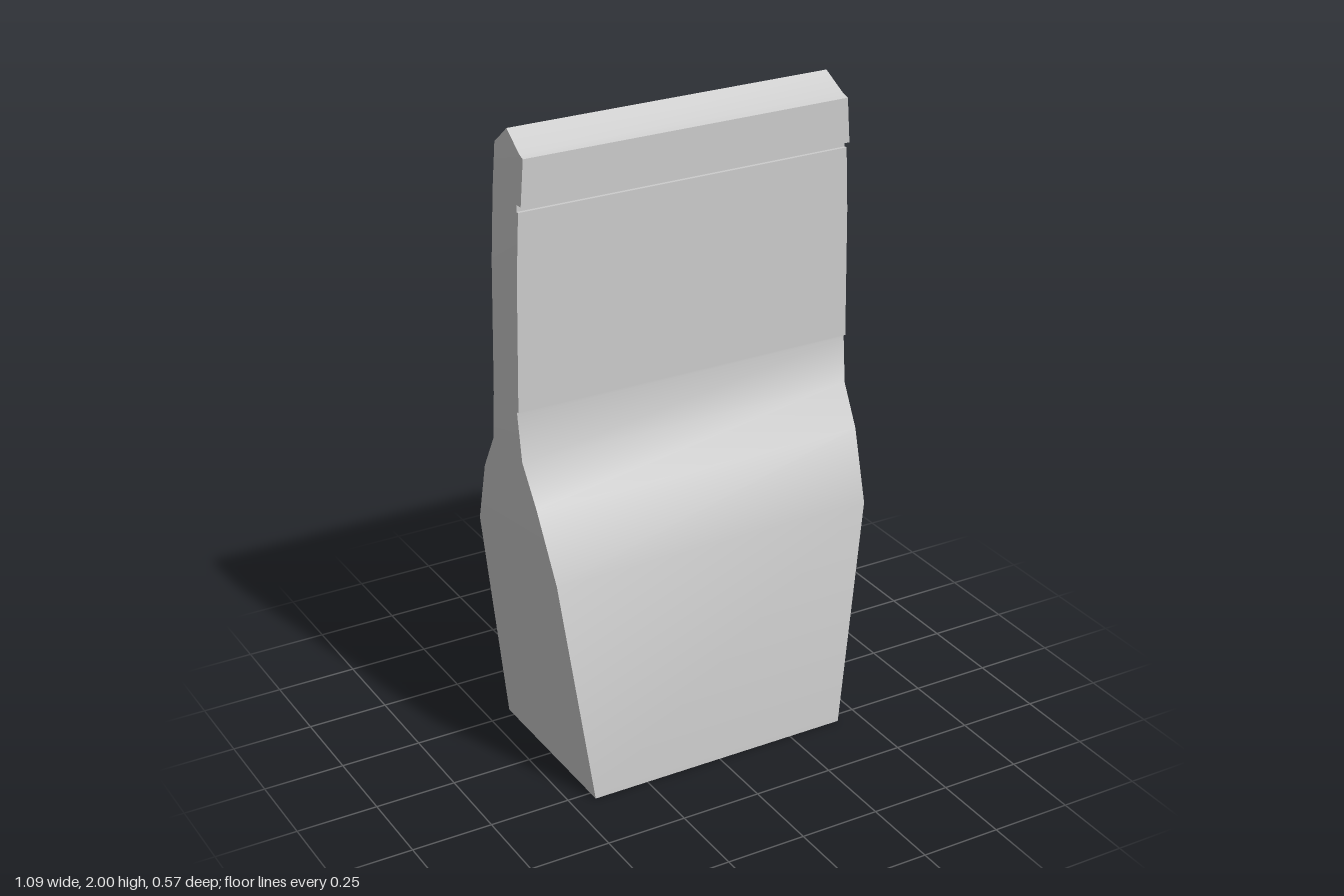
import * as THREE from 'three';
import { toCreasedNormals } from 'three/addons/utils/BufferGeometryUtils.js';

// Cross-sections from the base up: height, half width, front z, back z
const SECTIONS = [
  [0, 0.425, 0.283, -0.283],
  [0.72, 0.519, 0.247, -0.245],
  [0.93, 0.535, 0.164, -0.164],
  [1.05, 0.54, 0.092, -0.09],
  [1.19, 0.543, 0.075, -0.072],
  [1.2, 0.543, 0.075, -0.071],
  [1.2, 0.543, 0.083, -0.071], // small step under the flat panel
  [1.6, 0.536, 0.083, -0.071],
  [1.79, 0.527, 0.083, -0.071],
  [1.79, 0.527, 0.073, -0.071], // groove
  [1.81, 0.526, 0.073, -0.071],
  [1.81, 0.526, 0.098, -0.071], // lip above the groove
  [1.945, 0.516, 0.098, -0.071],
  [1.952, 0.515, 0.075, -0.062],
  [2, 0.51, -0.007, -0.007], // ridge
];

// Loft of rectangular sections, closed at the base
function loft(sections) {
  const positions = [];
  const corners = ([y, w, front, back]) =>
    [[-w, y, front], [w, y, front], [w, y, back], [-w, y, back]];
  const triangle = (a, b, c) => {
    const [A, B, C] = [a, b, c].map((p) => new THREE.Vector3(...p));
    // Steps at one height collapse on three sides, so skip empty triangles
    if (B.sub(A).cross(C.sub(A)).length() > 1e-7) positions.push(...a, ...b, ...c);
  };
  const quad = (a, b, c, d) => {
    triangle(a, b, c);
    triangle(a, c, d);
  };
  for (let i = 0; i < sections.length - 1; i++) {
    const low = corners(sections[i]);
    const high = corners(sections[i + 1]);
    for (let j = 0; j < 4; j++) {
      const k = (j + 1) % 4;
      quad(low[j], low[k], high[k], high[j]);
    }
  }
  quad(...corners(sections[0]).reverse());
  const geometry = new THREE.BufferGeometry();
  geometry.setAttribute('position', new THREE.Float32BufferAttribute(positions, 3));
  return toCreasedNormals(geometry, THREE.MathUtils.degToRad(35));
}

export function createModel() {
  const group = new THREE.Group();
  group.name = 'flaredTab';

  // Heavy base flowing into a thin upright tab with a grooved lip
  const body = new THREE.Mesh(loft(SECTIONS), new THREE.MeshStandardMaterial({ color: 0xcccccc }));
  body.name = 'body';
  group.add(body);

  return group;
}
